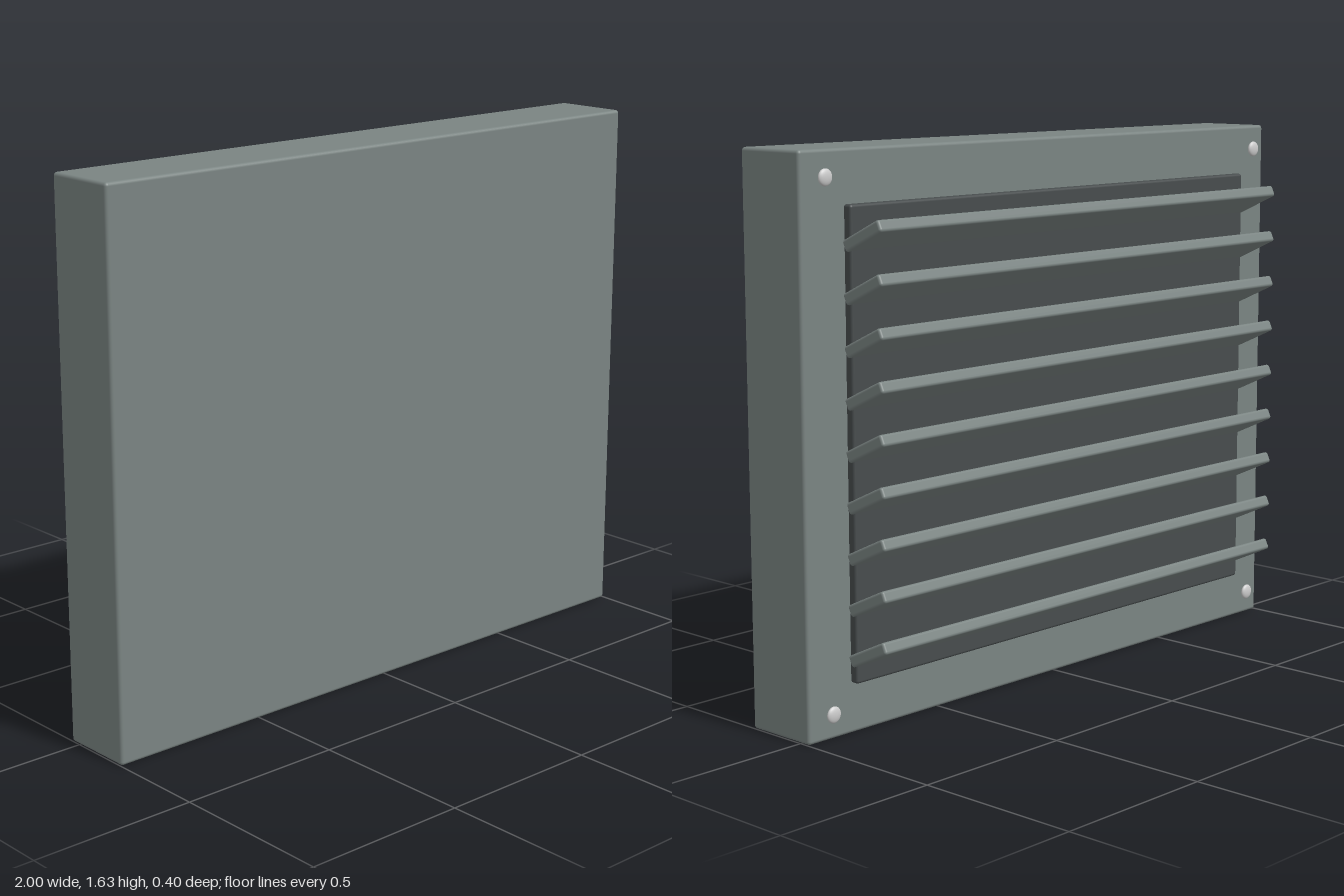
import * as THREE from 'three';
import { RoundedBoxGeometry } from 'three/addons/geometries/RoundedBoxGeometry.js';

export function createModel() {
  const group = new THREE.Group();
  group.name = 'louvredVent';

  const frameMat = new THREE.MeshStandardMaterial({ color: 0x7a8482 });
  const panelMat = new THREE.MeshStandardMaterial({ color: 0x474c4d });
  const screwMat = new THREE.MeshStandardMaterial({ color: 0xcccccc });

  const add = (name, geometry, material, x, y, z) => {
    const mesh = new THREE.Mesh(geometry, material);
    mesh.name = name;
    mesh.position.set(x, y, z);
    group.add(mesh);
    return mesh;
  };

  // Solid housing
  add('housing', new RoundedBoxGeometry(2, 1.63, 0.236, 3, 0.01), frameMat, 0, 0.815, 0.082);

  // Dark recess panel behind the slats
  add('backPanel', new RoundedBoxGeometry(1.7, 1.33, 0.03, 3, 0.008), panelMat, 0, 0.815, -0.056);

  // Nine tilted slats, outer edges raised
  const slatGeo = new RoundedBoxGeometry(1.72, 0.035, 0.156, 3, 0.008);
  for (let i = 0; i < 9; i++) {
    const slat = add('slat', slatGeo, frameMat, 0, 0.245 + i * 0.1443, -0.122);
    slat.rotation.x = THREE.MathUtils.degToRad(25);
  }

  // Flattened screw heads in the corners
  const screwGeo = new THREE.SphereGeometry(0.024, 24, 16);
  screwGeo.scale(1, 1, 0.4);
  for (const x of [-0.925, 0.925]) {
    for (const y of [0.077, 1.556]) add('screw', screwGeo, screwMat, x, y, -0.056);
  }

  return group;
}
